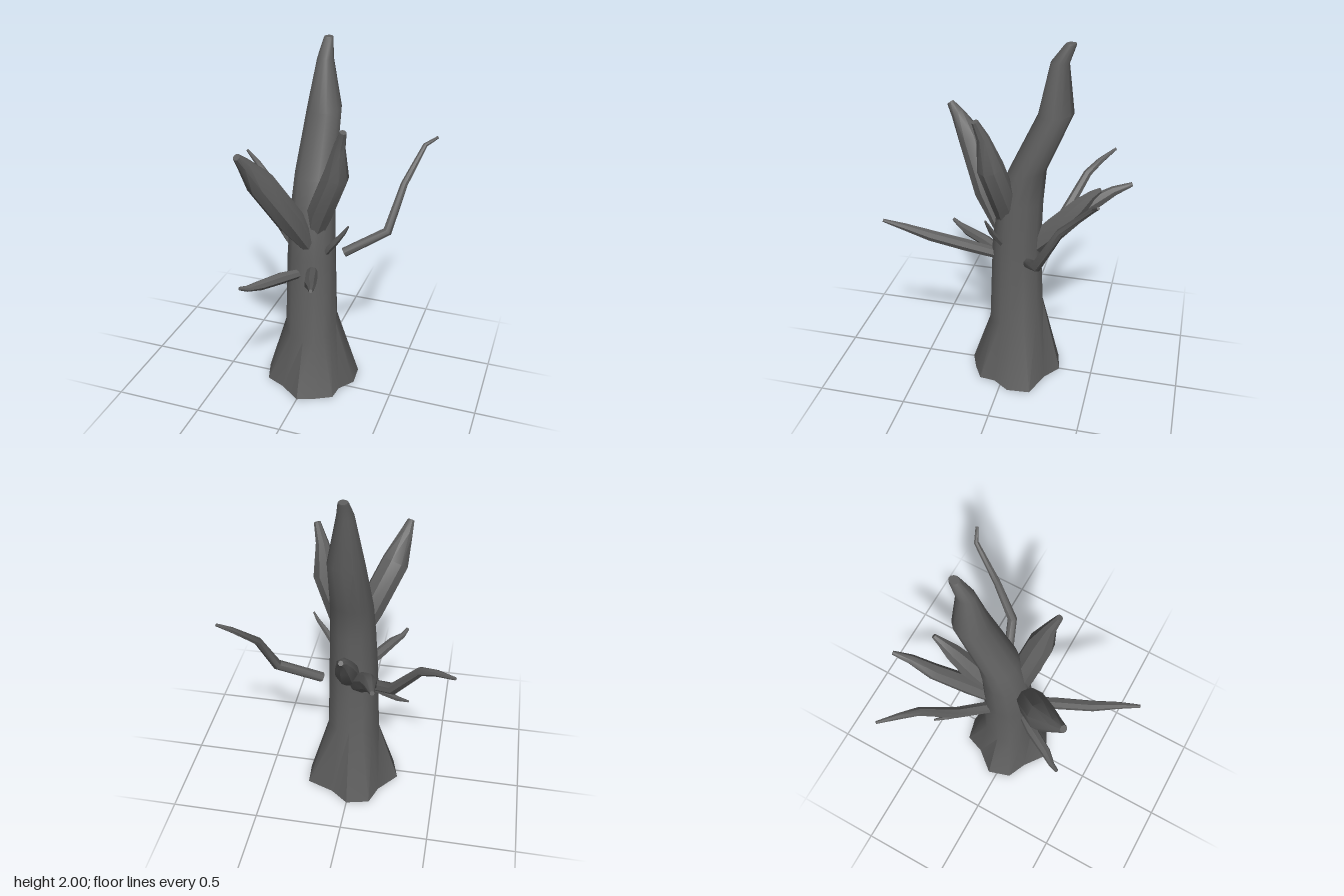
import * as THREE from 'three';
import { toCreasedNormals } from 'three/addons/utils/BufferGeometryUtils.js';

const bark = new THREE.MeshStandardMaterial({ color: 0x606060 });

// Skin a list of rings (counter-clockwise seen from the growing end) and cap both ends
function loft(rings) {
  const n = rings[0].length, pos = [], idx = [];
  rings.forEach(r => r.forEach(p => pos.push(p.x, p.y, p.z)));
  for (let i = 0; i < rings.length - 1; i++) {
    for (let j = 0; j < n; j++) {
      const a = i * n + j, b = i * n + (j + 1) % n;
      idx.push(a, b, b + n, a, b + n, a + n);
    }
  }
  [0, rings.length - 1].forEach(i => {
    const c = rings[i].reduce((s, p) => s.add(p), new THREE.Vector3()).divideScalar(n);
    const k = pos.length / 3;
    pos.push(c.x, c.y, c.z);
    for (let j = 0; j < n; j++) {
      const a = i * n + j, b = i * n + (j + 1) % n;
      i === 0 ? idx.push(k, b, a) : idx.push(k, a, b);
    }
  });
  const g = new THREE.BufferGeometry();
  g.setAttribute('position', new THREE.Float32BufferAttribute(pos, 3));
  g.setIndex(idx);
  return toCreasedNormals(g, 0.75);
}

// Bent, tapering limb through points [x, y, z, radius]
function limb(name, points, sides = 7) {
  const centres = points.map(p => new THREE.Vector3(p[0], p[1], p[2]));
  const rings = centres.map((c, i) => {
    const before = centres[Math.max(i - 1, 0)], after = centres[Math.min(i + 1, centres.length - 1)];
    const t = after.clone().sub(before).normalize();
    const u = new THREE.Vector3(0.31, 0.2, -0.93).cross(t).normalize();
    const v = t.clone().cross(u);
    return Array.from({ length: sides }, (_, j) => {
      const a = (j / sides) * Math.PI * 2;
      return c.clone().addScaledVector(u, Math.cos(a) * points[i][3]).addScaledVector(v, Math.sin(a) * points[i][3]);
    });
  });
  const mesh = new THREE.Mesh(loft(rings), bark);
  mesh.name = name;
  return mesh;
}

// Trunk: uneven root flare, then rings leaning back into the tall leader
function trunk() {
  const foot = [[0.265, -0.05], [0.255, -0.18], [0.1, -0.235], [0, -0.31], [-0.13, -0.28], [-0.17, -0.17],
    [-0.27, -0.05], [-0.23, 0.08], [-0.12, 0.13], [0, 0.22], [0.1, 0.18], [0.19, 0.13], [0.2, 0.04]];
  const angles = foot.map(([x, z]) => Math.atan2(-(z + 0.05), x));
  // height, centre z, half width, half depth, tilt
  const levels = [
    [0.4, -0.045, 0.15, 0.155, -0.45], [0.85, -0.045, 0.137, 0.137, 0], [1.12, -0.065, 0.125, 0.125, 0],
    [1.3, -0.102, 0.117, 0.103, -0.1], [1.63, -0.247, 0.097, 0.094, -0.1],
    [1.9, -0.26, 0.044, 0.048, 0], [1.99, -0.308, 0.027, 0.03, 0], [2, -0.313, 0.023, 0.026, 0]
  ];
  const rings = [foot.map(([x, z]) => new THREE.Vector3(x, 0, z))];
  levels.forEach(([y, cz, rx, rz, tilt]) => rings.push(angles.map(a => {
    const dz = -Math.sin(a) * rz;
    return new THREE.Vector3(Math.cos(a) * rx, y + dz * tilt, cz + dz);
  })));
  const mesh = new THREE.Mesh(loft(rings), bark);
  mesh.name = 'trunk';
  return mesh;
}

export function createModel() {
  const tree = new THREE.Group();
  tree.name = 'bareTree';
  tree.add(
    trunk(),
    // Thick upright boughs
    limb('frontRightBough', [[0.025, 0.88, 0.02, 0.03], [-0.06, 1.11, 0.13, 0.078], [-0.18, 1.36, 0.25, 0.077],
      [-0.222, 1.49, 0.345, 0.038], [-0.24, 1.545, 0.392, 0.02]], 8),
    limb('frontLeftBough', [[0.01, 0.9, 0, 0.03], [0.065, 1.12, 0.01, 0.075], [0.168, 1.37, 0.06, 0.072],
      [0.192, 1.54, 0.09, 0.034], [0.222, 1.637, 0.122, 0.018]], 8),
    // Rear boughs
    limb('rearBough', [[-0.02, 0.78, -0.1, 0.045], [-0.07, 0.9, -0.25, 0.056], [-0.145, 1.06, -0.43, 0.046],
      [-0.168, 1.14, -0.55, 0.028], [-0.195, 1.18, -0.645, 0.012]]),
    limb('rearShortBough', [[0, 0.8, -0.1, 0.055], [-0.005, 0.97, -0.27, 0.065], [-0.012, 1.11, -0.39, 0.048],
      [-0.015, 1.18, -0.45, 0.026], [-0.015, 1.215, -0.493, 0.014]]),
    // Long slender branches
    limb('leftBranch', [[0.16, 0.815, -0.145, 0.028], [0.385, 0.945, -0.235, 0.028], [0.44, 1.19, -0.36, 0.021],
      [0.512, 1.375, -0.525, 0.014], [0.577, 1.42, -0.555, 0.008]]),
    limb('rightBranch', [[-0.1, 0.78, -0.12, 0.034], [-0.25, 0.88, -0.25, 0.032], [-0.4, 1.12, -0.37, 0.024],
      [-0.48, 1.17, -0.43, 0.018], [-0.577, 1.21, -0.505, 0.008]]),
    limb('frontBranch', [[0.04, 0.78, 0.06, 0.03], [0.09, 0.84, 0.22, 0.034], [0.15, 0.91, 0.41, 0.031],
      [0.2, 0.975, 0.54, 0.02], [0.235, 1.02, 0.645, 0.009]]),
    // Low twigs
    limb('lowFrontBranch', [[-0.03, 0.755, 0.06, 0.025], [-0.1, 0.765, 0.16, 0.033], [-0.175, 0.775, 0.29, 0.028],
      [-0.225, 0.78, 0.355, 0.017], [-0.25, 0.8, 0.4, 0.01]]),
    limb('lowRightTwig', [[-0.1, 0.79, -0.13, 0.022], [-0.2, 0.81, -0.21, 0.02], [-0.28, 0.84, -0.28, 0.014],
      [-0.34, 0.875, -0.33, 0.006]], 6),
    limb('leftTwig', [[0.09, 0.87, 0.01, 0.018], [0.17, 0.98, 0.05, 0.017], [0.22, 1.05, 0.06, 0.011],
      [0.245, 1.095, 0.07, 0.005]], 6)
  );
  return tree;
}
